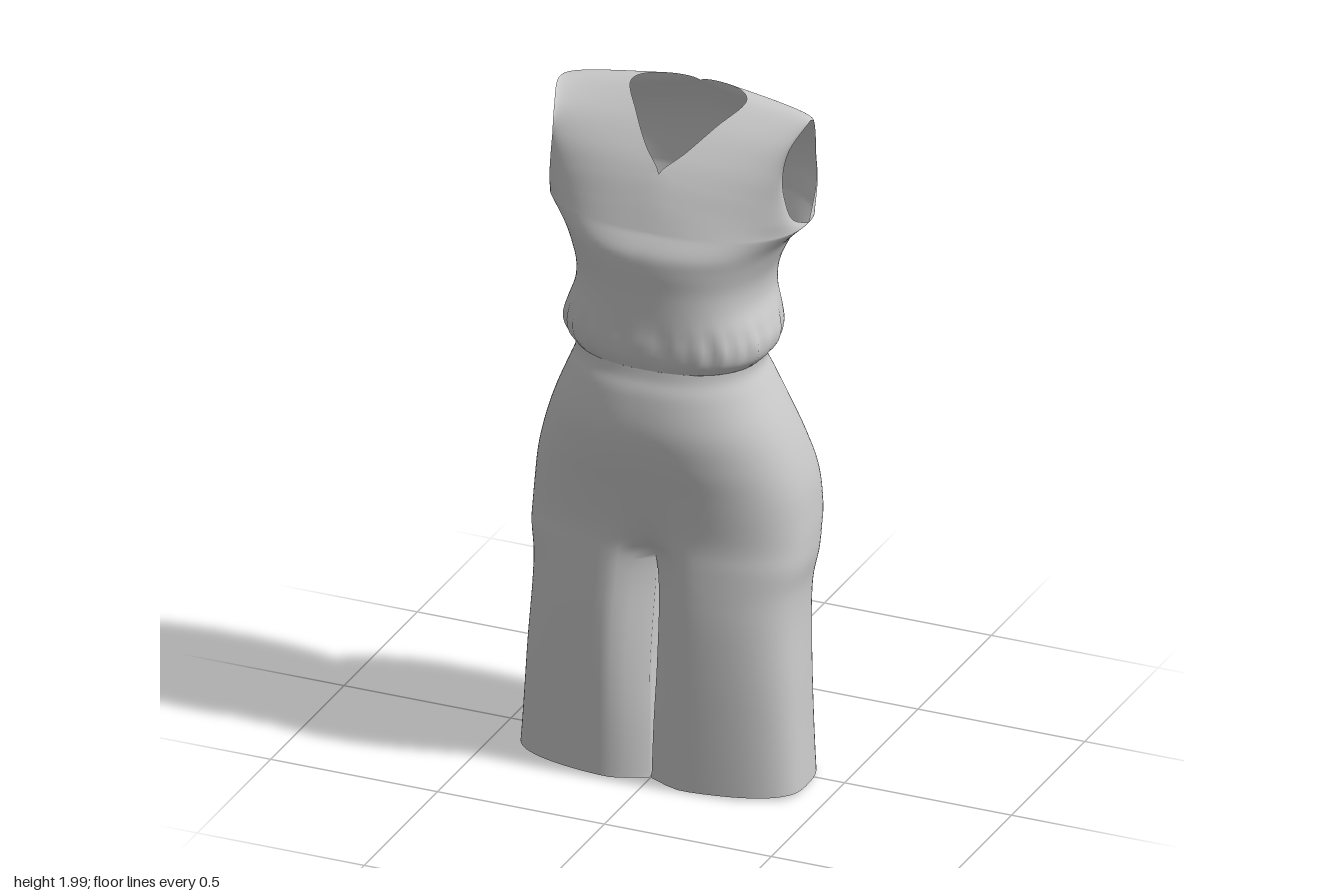
import * as THREE from 'three';
import { mergeGeometries, mergeVertices } from 'three/addons/utils/BufferGeometryUtils.js';

const COLS = 48; // columns from front centre, round the side, to back centre
const POWER = 2.4; // squareness of the bodice cross-section

// Smooth interpolation through a table of rows, u from 0 to 1
function sample(rows, u) {
  const f = u * (rows.length - 1);
  const i = Math.min(Math.floor(f), rows.length - 2), t = f - i;
  const row = (j) => rows[Math.max(0, Math.min(rows.length - 1, j))];
  const [a, b, c, d] = [row(i - 1), row(i), row(i + 1), row(i + 2)];
  return b.map((v, k) => v + 0.5 * t * (c[k] - a[k]
    + t * (2 * a[k] - 5 * v + 4 * c[k] - d[k] + t * (3 * (v - c[k]) + d[k] - a[k]))));
}

const bend = (v, n) => Math.sign(v) * Math.pow(Math.abs(v), 2 / n);

// Half cross-section on the +x side, squashed ellipse with separate front and back depths
function halfRing([y, w, zc, zf, zb, n], shape) {
  const pts = [];
  for (let c = 0; c <= COLS; c++) {
    const t = (c / COLS) * Math.PI;
    const co = c * 2 === COLS ? 0 : Math.cos(t);
    const si = c % COLS === 0 ? 0 : Math.sin(t);
    const p = [w * bend(si, n), y, zc + (co > 0 ? zf - zc : zc - zb) * bend(co, n)];
    pts.push(shape ? shape(p, t, zc) : p);
  }
  return pts;
}

// Surface through rows of points (top to bottom, left to right seen from outside)
function loft(rows) {
  const n = rows[0].length, index = [];
  for (let r = 0; r < rows.length - 1; r++) {
    for (let c = 0; c < n - 1; c++) {
      const a = r * n + c, b = a + n;
      index.push(a, b, b + 1, a, b + 1, a + 1);
    }
  }
  const g = new THREE.BufferGeometry();
  g.setAttribute('position', new THREE.Float32BufferAttribute(rows.flat(2), 3));
  g.setIndex(index);
  return g;
}

// Mirror half surfaces to -x, weld and smooth
function mirrored(name, halves) {
  const all = halves.flatMap((g) => {
    const m = g.clone().scale(-1, 1, 1);
    const ix = m.index.array;
    for (let i = 0; i < ix.length; i += 3) [ix[i], ix[i + 1]] = [ix[i + 1], ix[i]];
    m.deleteAttribute('normal');
    return [g, m];
  });
  const geo = mergeVertices(mergeGeometries(all), 1e-4);
  geo.computeVertexNormals();
  const mesh = new THREE.Mesh(geo, new THREE.MeshStandardMaterial({ color: 0xcccccc, side: THREE.DoubleSide }));
  mesh.name = name;
  return mesh;
}

function rowsOf(count, fn) {
  return Array.from({ length: count + 1 }, (_, i) => fn(i / count));
}

// Bodice below the armholes: y, half width, side z, front z, back z, power
const BODICE = [
  [1.68, 0.375, -0.04, 0.205, -0.24, POWER],
  [1.63, 0.325, -0.03, 0.237, -0.238, POWER],
  [1.58, 0.297, -0.02, 0.243, -0.233, POWER],
  [1.52, 0.275, -0.01, 0.24, -0.224, 2.5],
  [1.46, 0.272, 0, 0.24, -0.21, 2.6],
  [1.40, 0.29, 0.01, 0.242, -0.192, 2.6],
  [1.35, 0.302, 0.02, 0.245, -0.172, 2.5],
  [1.31, 0.295, 0.03, 0.243, -0.16, 2.4],
  [1.28, 0.268, 0.04, 0.235, -0.15, 2.3],
];

// Yoke from front chest over the shoulder to the back: inner (neck) and armhole edges
const INNER = [
  [0, 1.68, 0.205], [0, 1.76, 0.17], [0, 1.83, 0.13], [0.06, 1.885, 0.08],
  [0.12, 1.945, 0.01], [0.172, 1.993, -0.075], [0.11, 2.0, -0.138], [0, 1.99, -0.156],
  [0, 1.9, -0.2], [0, 1.8, -0.226], [0, 1.68, -0.24],
];
const ARMHOLE = [
  [0.375, 1.68, -0.04], [0.36, 1.72, 0.035], [0.35, 1.79, 0.066], [0.345, 1.86, 0.07],
  [0.352, 1.93, 0.042], [0.372, 1.978, -0.03], [0.362, 1.965, -0.095], [0.35, 1.91, -0.142],
  [0.345, 1.83, -0.156], [0.355, 1.75, -0.135], [0.375, 1.68, -0.04],
];

function bodice() {
  const lower = loft(rowsOf(40, (u) => {
    const row = sample(BODICE, u);
    // Gathers fade in towards the waist seam
    const gather = 0.014 * Math.exp(-(((row[0] - 1.35) / 0.05) ** 2));
    return halfRing(row, ([x, y, z], t, zc) => {
      const s = 1 + gather * (Math.cos(26 * t) + 0.6 * Math.cos(16 * t));
      return [x * s, y, zc + (z - zc) * s];
    });
  }));
  const yoke = loft(rowsOf(80, (u) => {
    const a = sample(INNER, 1 - u), b = sample(ARMHOLE, 1 - u);
    a[0] = Math.max(0, a[0]);
    return Array.from({ length: COLS / 2 + 1 }, (_, c) => {
      const t = (c / COLS) * Math.PI;
      const s = c ? bend(Math.sin(t), POWER) : 0;
      const k = c * 2 === COLS ? 0 : bend(Math.cos(t), POWER);
      return [a[0] + (b[0] - a[0]) * s, a[1] + (b[1] - a[1]) * s, b[2] + (a[2] - b[2]) * k];
    });
  }));
  return mirrored('bodice', [lower, yoke]);
}

// Waist, hips and wide legs: y, half width, side z, front z, back z, power, centre crease, leg gap
const TROUSERS = [
  [1.28, 0.268, 0.04, 0.235, -0.15, 2.3, 0, 0],
  [1.25, 0.27, 0.04, 0.242, -0.155, 2.3, 0, 0],
  [1.20, 0.292, 0.03, 0.26, -0.17, 2.3, 0, 0],
  [1.10, 0.335, 0.02, 0.275, -0.202, 2.3, 0, 0],
  [1.00, 0.37, 0.01, 0.265, -0.245, 2.3, 0, 0],
  [0.90, 0.395, 0, 0.243, -0.272, 2.4, 0, 0],
  [0.80, 0.406, 0, 0.226, -0.268, 2.5, 0.04, 0],
  [0.74, 0.409, 0.01, 0.222, -0.248, 2.5, 0.14, 0],
  [0.68, 0.408, 0.02, 0.225, -0.215, 2.6, 0.36, 0],
  [0.60, 0.396, 0.03, 0.23, -0.18, 2.7, 0.45, 0.004],
  [0.50, 0.395, 0.04, 0.234, -0.162, 2.8, 0.45, 0.008],
  [0.34, 0.403, 0.06, 0.236, -0.155, 2.8, 0.4, 0.01],
  [0.18, 0.411, 0.07, 0.236, -0.153, 2.8, 0.35, 0.006],
  [0.01, 0.42, 0.08, 0.235, -0.16, 2.8, 0.32, 0.003],
];

function trousers() {
  const rows = rowsOf(13 * 6, (u) => {
    const row = sample(TROUSERS, u);
    const crease = Math.max(0, row[6]), gap = Math.max(0, row[7]);
    const hem = Math.max(0, 1 - row[0] / 0.1);
    return halfRing(row, ([x, y, z], t, zc) => {
      const pull = 1 - crease * Math.exp(-((x / 0.06) ** 2));
      return [x + gap * (1 - x / row[1]), y + hem * 0.012 * (x / 0.42), zc + (z - zc) * pull];
    });
  });
  // Inner leg walls start at the crotch row and close each leg
  const inner = rows.slice(8 * 6).map((ring, i) => {
    const front = ring[0], back = ring[COLS];
    return Array.from({ length: 13 }, (_, c) => {
      const t = c / 12;
      const bow = 0.012 * Math.sin(Math.PI * t) * Math.min(1, i / 8);
      return [back[0] + bow, back[1], back[2] + (front[2] - back[2]) * t];
    });
  });
  return mirrored('trousers', [loft(rows), loft(inner)]);
}

export function createModel() {
  const group = new THREE.Group();
  group.name = 'jumpsuit';
  group.add(bodice(), trousers());
  return group;
}
